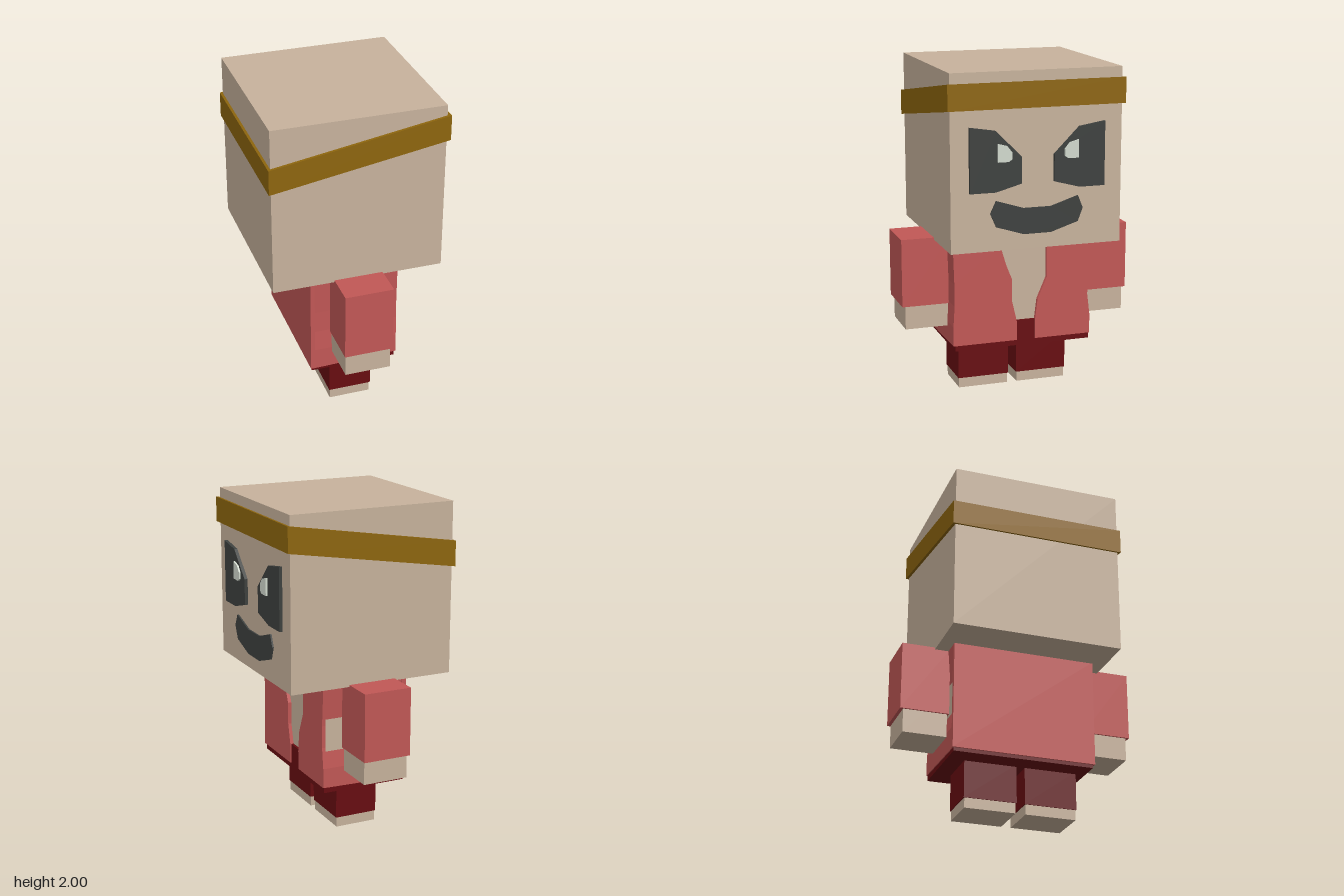
import * as THREE from 'three';

const mat = (color) => new THREE.MeshStandardMaterial({ color, flatShading: true });

export function createModel() {
  const model = new THREE.Group();
  const skin = mat(0xc8b39d), red = mat(0xc25856), darkRed = mat(0x680d11);
  const gold = mat(0x8e660e), dark = mat(0x3e413f), pale = mat(0xd2dacf);

  const add = (name, geometry, material) => {
    const mesh = new THREE.Mesh(geometry, material);
    mesh.name = name;
    model.add(mesh);
    return mesh;
  };

  // Box given by its [min, max] range on each axis
  const box = (name, material, [x0, x1], [y0, y1], [z0, z1]) => {
    const g = new THREE.BoxGeometry(x1 - x0, y1 - y0, z1 - z0);
    g.translate((x0 + x1) / 2, (y0 + y1) / 2, (z0 + z1) / 2);
    return add(name, g, material);
  };

  // Outline of [z, y] points, extruded along x from x0 to x1
  const plate = (name, material, points, x0, x1) => {
    const shape = new THREE.Shape(points.map(([z, y]) => new THREE.Vector2(-z, y)));
    const g = new THREE.ExtrudeGeometry(shape, { depth: x1 - x0, bevelEnabled: false });
    g.rotateY(Math.PI / 2).translate(x0, 0, 0);
    return add(name, g, material);
  };
  const mirror = (points) => points.map(([z, y]) => [-z, y]);

  // Move vertices in y by a rule of x and y
  const slant = (mesh, rule) => {
    const p = mesh.geometry.attributes.position;
    for (let i = 0; i < p.count; i++) p.setY(i, p.getY(i) + rule(p.getX(i), p.getY(i)));
    mesh.geometry.computeVertexNormals();
  };

  // Head with a band that rises toward the face
  box('head', skin, [-0.53, 0.51], [0.96, 2], [-0.52, 0.52]);
  const band = box('headband', gold, [-0.545, 0.53], [1.7, 1.853], [-0.537, 0.537]);
  slant(band, (x) => (x + 0.0075) * 0.163);

  // Face
  const eye = [[0.41, 1.69], [0.255, 1.665], [0.1, 1.51], [0.1, 1.352], [0.255, 1.31], [0.41, 1.31]];
  const glint = [[0.245, 1.592], [0.19, 1.577], [0.16, 1.54], [0.16, 1.5], [0.18, 1.485], [0.245, 1.485]];
  for (const flip of [(p) => p, mirror]) {
    plate('eye', dark, flip(eye), 0.505, 0.53);
    plate('eyeHighlight', pale, flip(glint), 0.525, 0.541);
  }
  plate('mouth', dark, [
    [0.25, 1.257], [0.083, 1.204], [-0.083, 1.204], [-0.25, 1.257], [-0.28, 1.183],
    [-0.25, 1.103], [-0.083, 1.05], [0.083, 1.05], [0.25, 1.103], [0.285, 1.183],
  ], 0.505, 0.52);

  // Torso and hips
  box('chest', skin, [-0.26, 0.245], [0.4, 0.965], [-0.42, 0.42]);
  box('hips', darkRed, [-0.272, 0.26], [0.285, 0.443], [-0.428, 0.428]);

  // Open jacket: two front halves joined by a back panel
  const jacket = [
    plate('jacketHalf', red, [
      [0.44, 0.965], [0.145, 0.923], [0.108, 0.8], [0.07, 0.705], [0.07, 0.568],
      [0.04, 0.44], [0.04, 0.32], [0.44, 0.32], [0.44, 0.44], [0.432, 0.568], [0.432, 0.705],
    ], -0.27, 0.267),
    plate('jacketHalf', red, [
      [-0.437, 0.965], [-0.15, 0.918], [-0.15, 0.7], [-0.093, 0.568], [-0.077, 0.44],
      [-0.077, 0.32], [-0.433, 0.32], [-0.433, 0.44], [-0.417, 0.568], [-0.417, 0.705],
    ], -0.27, 0.267),
    box('jacketBack', red, [-0.281, -0.255], [0.32, 0.967], [-0.437, 0.44]),
  ];
  jacket.forEach((m) => slant(m, (x, y) => (y < 0.33 && x < 0 ? -0.014 : 0)));

  // The halves run through the torso, so the chest fills the opening between them

  // Arms: sleeve and hand
  for (const s of [1, -1]) {
    const span = (a, b) => (s > 0 ? [a, b] : [-b, -a]);
    box('sleeve', red, [-0.158, 0.14], [0.556, 0.972], span(0.425, 0.72));
    box('hand', skin, [-0.148, 0.132], [0.413, 0.7], span(0.435, 0.7));
  }

  // Legs: trouser and foot
  for (const z of [0.21, -0.162]) {
    box('trouserLeg', darkRed, [-0.142, 0.127], [0.062, 0.3], [z - 0.161, z + 0.161]);
    box('foot', skin, [-0.137, 0.122], [0, 0.1], [z - 0.156, z + 0.156]);
  }
  return model;
}
